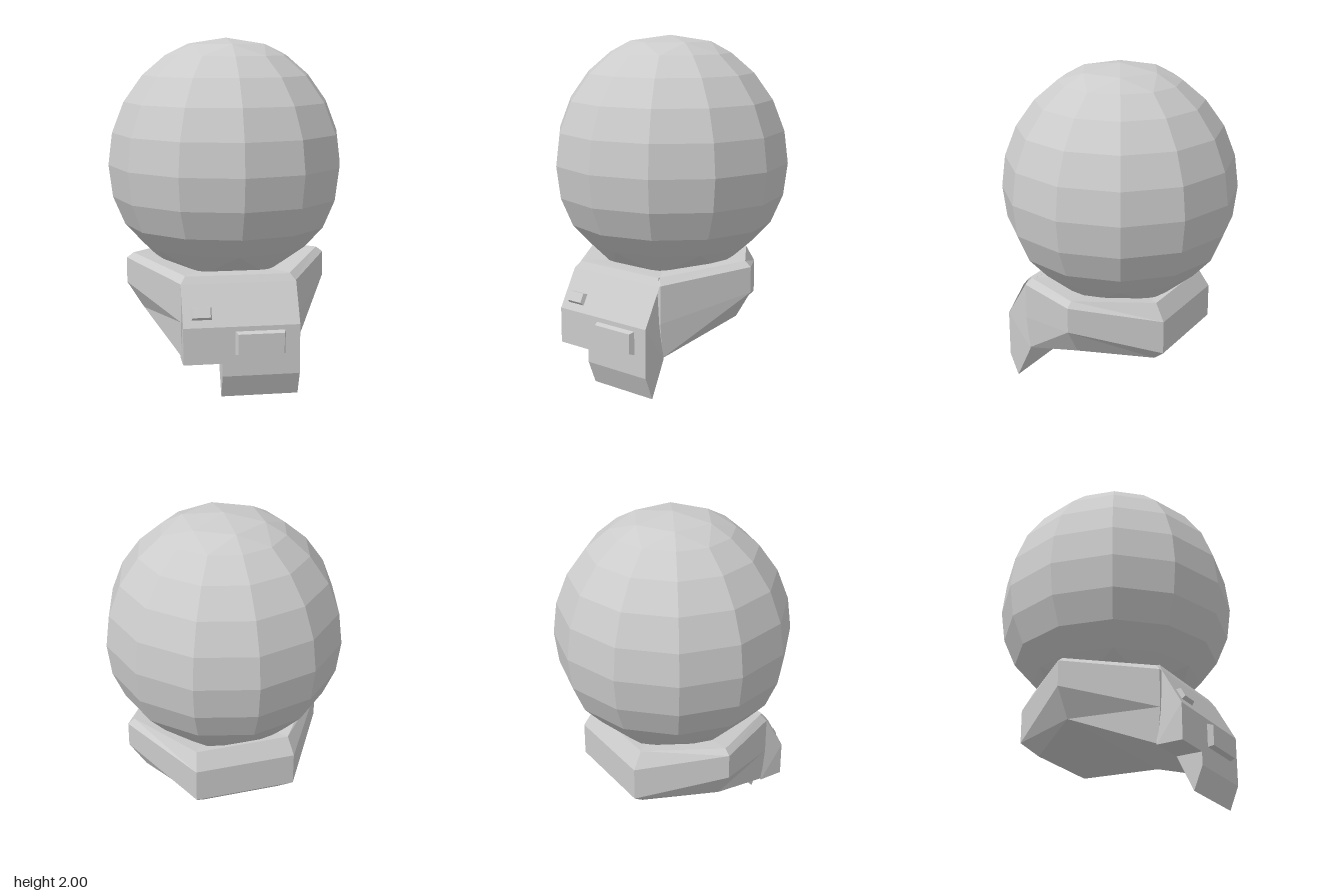
import * as THREE from 'three';

const material = new THREE.MeshStandardMaterial({ color: 0xcccccc, flatShading: true });

function part(name, geometry) {
  const mesh = new THREE.Mesh(geometry, material);
  mesh.name = name;
  return mesh;
}

// Skin closed rings of [x, y, z], listed bottom to top and counterclockwise from above
function loft(rings) {
  const pos = [];
  const tri = (...pts) => pts.forEach((p) => pos.push(...p));
  for (let r = 0; r < rings.length - 1; r++) {
    const a = rings[r], b = rings[r + 1], n = a.length;
    for (let i = 0; i < n; i++) {
      const j = (i + 1) % n;
      // alternate the diagonals so the facets mirror
      if ((i + (rings.flip?.[r] ?? 0)) % 2) {
        tri(a[i], a[j], b[j]);
        tri(a[i], b[j], b[i]);
      } else {
        tri(a[i], a[j], b[i]);
        tri(a[j], b[j], b[i]);
      }
    }
  }
  const g = new THREE.BufferGeometry();
  g.setAttribute('position', new THREE.Float32BufferAttribute(pos, 3));
  g.computeVertexNormals();
  return g;
}

// Extrude a [z, y] profile from x0 to x1
function extrudeX(profile, x0, x1) {
  const shape = new THREE.Shape(profile.map(([z, y]) => new THREE.Vector2(z, y)));
  const g = new THREE.ExtrudeGeometry(shape, { depth: x1 - x0, bevelEnabled: false });
  return g.rotateY(-Math.PI / 2).translate(x1, 0, 0);
}

// Twelve-sided ring; with a corner parity given, only every second point is a corner
function globeRing(radius, y, corner = -1) {
  return Array.from({ length: 12 }, (_, i) => {
    const a = (i * Math.PI) / 6;
    const r = corner >= 0 && i % 2 !== corner ? radius * Math.cos(Math.PI / 6) : radius;
    return [r * Math.cos(a), y, -r * Math.sin(a)];
  });
}

// Mirrored six-sided ring from its side, back and front corners
function collarRing(side, back, front) {
  const m = ([x, y, z]) => [-x, y, z];
  return [side, back, m(back), m(side), m(front), front];
}

// Raised button with a narrower front face
function button(name, w, h, d) {
  const g = new THREE.BoxGeometry(w, h, d);
  const p = g.attributes.position;
  for (let i = 0; i < p.count; i++) {
    if (p.getZ(i) > 0) p.setXY(i, p.getX(i) - Math.sign(p.getX(i)) * 0.015, p.getY(i) - Math.sign(p.getY(i)) * 0.012);
  }
  return part(name, g);
}

export function createModel() {
  const model = new THREE.Group();
  model.name = 'globeOnBase';

  // Faceted globe with six-sided caps
  const rings = [
    globeRing(0, 0.6),
    globeRing(0.36, 0.65, 0),
    globeRing(0.495, 0.785),
    globeRing(0.606, 0.905),
    globeRing(0.676, 1.07),
    globeRing(0.7, 1.26),
    globeRing(0.676, 1.45),
    globeRing(0.606, 1.63),
    globeRing(0.495, 1.785),
    globeRing(0.36, 1.9),
    globeRing(0.24, 1.965, 1),
    globeRing(0, 2),
  ];
  rings.flip = { 1: 1, 9: 1 };
  model.add(part('globe', loft(rings)));

  // Six-sided collar under the globe
  const point = (y) => Array.from({ length: 6 }, () => [0, y, 0]);
  model.add(part('collar', loft([
    point(0.39),
    collarRing([0.5, 0.39, 0], [0.24, 0.32, -0.37], [0.325, 0.215, 0.46]),
    collarRing([0.6, 0.55, 0], [0.3, 0.4, -0.46], [0.328, 0.42, 0.48]),
    collarRing([0.6, 0.7, 0], [0.3, 0.6, -0.46], [0.328, 0.64, 0.48]),
    collarRing([0.56, 0.73, 0], [0.28, 0.7, -0.4], [0.3, 0.68, 0.45]),
    point(0.67),
  ])));

  // Front panel, with its top edge drawn in at the corners
  const panel = extrudeX([[0.455, 0.21], [0.61, 0.21], [0.61, 0.42], [0.49, 0.64], [0.465, 0.68], [0.43, 0.68]], -0.33, 0.33);
  const p = panel.attributes.position;
  for (let i = 0; i < p.count; i++) if (p.getY(i) > 0.66) p.setX(i, p.getX(i) * 0.91);
  panel.computeVertexNormals();
  model.add(part('frontPanel', panel));

  // Tab hanging from one side of the panel
  model.add(part('lowerTab', extrudeX([[0.455, 0.21], [0.555, 0], [0.61, 0.135], [0.61, 0.21]], -0.11, 0.33)));

  // Buttons
  const large = button('largeButton', 0.29, 0.14, 0.04);
  large.position.set(0.105, 0.325, 0.622);
  const small = button('smallButton', 0.13, 0.08, 0.04);
  small.position.set(-0.225, 0.492, 0.575);
  small.rotation.x = -0.5;
  model.add(large, small);

  return model;
}
